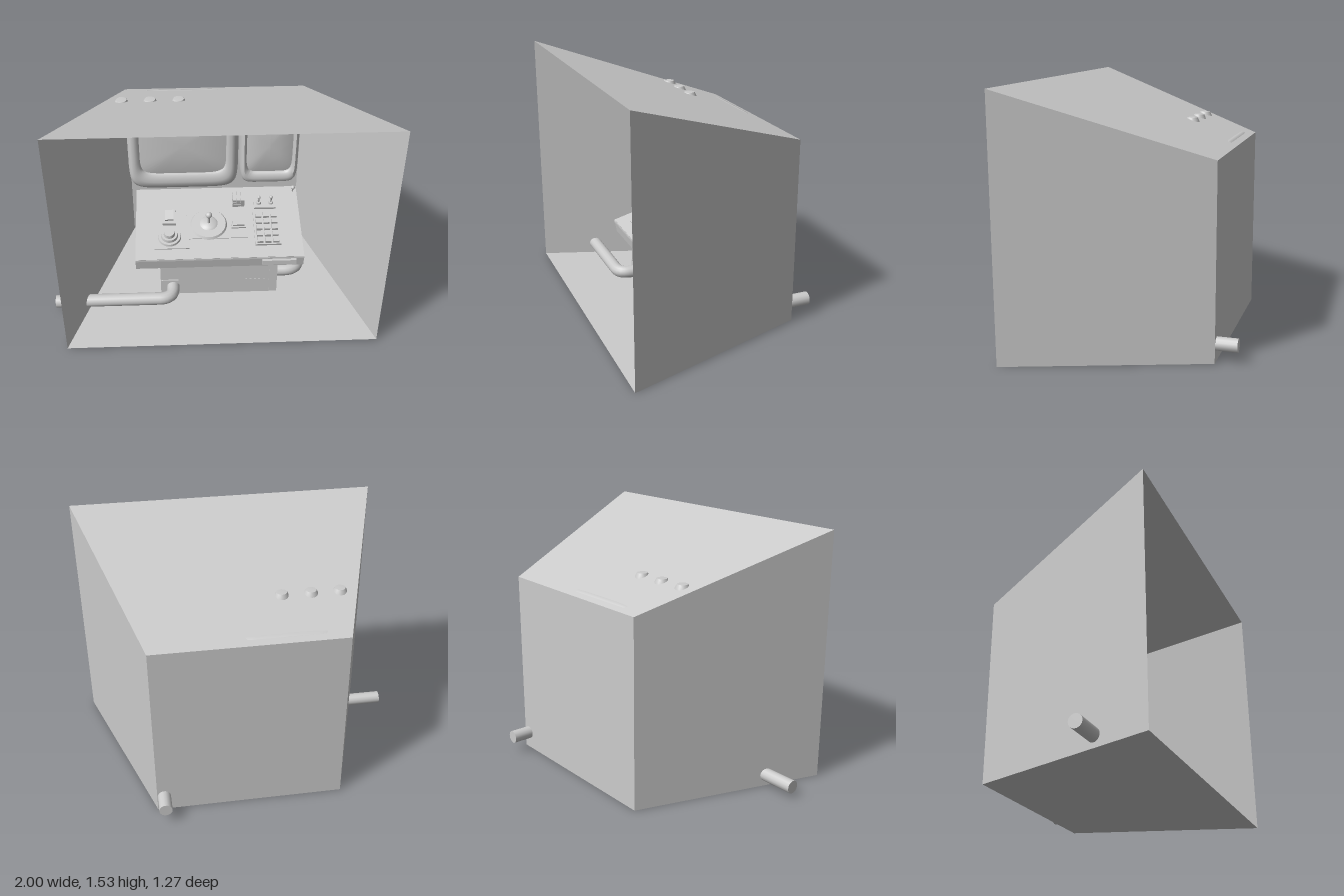
import * as THREE from 'three';
import { toCreasedNormals } from 'three/addons/utils/BufferGeometryUtils.js';

const grey = new THREE.MeshStandardMaterial({ color: 0xcccccc, side: THREE.DoubleSide });

function add(parent, name, geometry, x = 0, y = 0, z = 0) {
  const mesh = new THREE.Mesh(geometry, grey);
  mesh.name = name;
  mesh.position.set(x, y, z);
  parent.add(mesh);
  return mesh;
}
const box = (w, h, d) => new THREE.BoxGeometry(w, h, d);
const cyl = (r0, r1, h, n = 20) => toCreasedNormals(new THREE.CylinderGeometry(r0, r1, h, n), 0.7);

// Open-fronted room: trapezoid plan, sloping roof
function roomGeometry() {
  const bl = [-0.53, 0, -0.51], br = [0.615, 0, -0.51];
  const fl = [-0.905, 0, 0.635], fr = [0.995, 0, 0.635];
  const up = ([x, , z]) => [x, z < 0 ? 1.147 : 1.528, z];
  const quads = [
    [bl, br, fr, fl],
    [up(fl), up(fr), up(br), up(bl)],
    [br, bl, up(bl), up(br)],
    [bl, fl, up(fl), up(bl)],
    [fr, br, up(br), up(fr)],
  ];
  const pos = quads.flatMap(([a, b, c, d]) => [a, b, c, a, c, d]).flat();
  const g = new THREE.BufferGeometry();
  g.setAttribute('position', new THREE.Float32BufferAttribute(pos, 3));
  g.computeVertexNormals();
  return g;
}

// Monitor lofted from bowed rounded outlines; rectangles are [x0, x1, y0, y1]
function monitorGeometry(outer, inner) {
  // [blend outer->inner, scale about centre, z]
  const rings = [
    [0, 0.001, -0.48], [0, 0.92, -0.48], [0, 0.98, -0.468], [0, 1, -0.45], [0, 1, -0.34],
    [0.08, 1, -0.29], [0.3, 1, -0.262], [0.6, 1, -0.254], [0.9, 1, -0.262],
    [1, 1, -0.27], [1.03, 1, -0.285], [1, 0.8, -0.275], [1, 0.45, -0.265], [1, 0.001, -0.26],
  ];
  const n = 64, pos = [], idx = [];
  rings.forEach(([f, s, z], k) => {
    const [x0, x1, y0, y1] = outer.map((v, i) => v + (inner[i] - v) * f);
    for (let i = 0; i < n; i++) {
      const t = (i / n) * Math.PI * 2, c = Math.cos(t), d = Math.sin(t);
      const p = (v) => Math.sign(v) * Math.abs(v) ** 0.3;
      pos.push((x0 + x1) / 2 + p(c) * s * (x1 - x0) / 2, (y0 + y1) / 2 + p(d) * s * (y1 - y0) / 2, z);
      if (k) {
        const a = (k - 1) * n + i, b = (k - 1) * n + (i + 1) % n;
        idx.push(a, b, b + n, a, b + n, a + n);
      }
    }
  });
  const g = new THREE.BufferGeometry();
  g.setAttribute('position', new THREE.Float32BufferAttribute(pos, 3));
  g.setIndex(idx);
  return toCreasedNormals(g, 0.75);
}

// Pipe with one rounded elbow and closed ends
function addPipe(parent, name, start, corner, end, bend) {
  const [a, b, c] = [start, corner, end].map((p) => new THREE.Vector3(...p));
  const b0 = b.clone().add(a.clone().sub(b).setLength(bend));
  const b1 = b.clone().add(c.clone().sub(b).setLength(bend));
  const path = new THREE.CurvePath();
  path.add(new THREE.LineCurve3(a, b0));
  path.add(new THREE.QuadraticBezierCurve3(b0, b, b1));
  path.add(new THREE.LineCurve3(b1, c));
  const group = new THREE.Group();
  group.name = name;
  parent.add(group);
  add(group, 'pipeTube', new THREE.TubeGeometry(path, 48, 0.04, 14));
  for (const [p, q] of [[a, b], [c, b]]) {
    const cap = add(group, 'pipeEnd', new THREE.CircleGeometry(0.04, 14), p.x, p.y, p.z);
    cap.lookAt(p.clone().multiplyScalar(2).sub(q));
  }
}

export function createModel() {
  const model = new THREE.Group();
  model.name = 'controlRoom';
  add(model, 'roomShell', roomGeometry());

  add(model, 'largeMonitor', monitorGeometry([-0.53, 0.19, 0.51, 1.17], [-0.455, 0.11, 0.635, 1.09]));
  add(model, 'smallMonitor', monitorGeometry([0.2, 0.58, 0.54, 1.14], [0.24, 0.54, 0.635, 1.07]));

  // Hanging lamps
  const egg = [[0, 1.09], [0.03, 1.097], [0.055, 1.117], [0.068, 1.15], [0.066, 1.18],
    [0.055, 1.22], [0.042, 1.255], [0.032, 1.273], [0, 1.275]].map((p) => new THREE.Vector2(...p));
  for (const x of [-0.535, -0.363, -0.19]) {
    add(model, 'lamp', toCreasedNormals(new THREE.LatheGeometry(egg, 16), 0.9), x, 0, -0.17);
  }

  // Cabinet under the desk
  add(model, 'cabinet', box(0.755, 0.31, 0.48), 0.0425, 0.155, -0.06);
  add(model, 'pipePlate', box(0.11, 0.12, 0.012), -0.275, 0.063, 0.182);
  add(model, 'cabinetDoorEdge', box(0.006, 0.27, 0.008), 0.37, 0.145, 0.181);
  for (let i = 0; i < 5; i++) add(model, 'vent', box(0.012, 0.006, 0.006), 0.22 + i * 0.028, 0.11, 0.181);

  addPipe(model, 'leftPipe', [-1, 0.07, 0.295], [-0.255, 0.07, 0.295], [-0.255, 0.07, 0.17], 0.085);
  addPipe(model, 'rightPipe', [0.41, 0.105, 0.09], [0.572, 0.105, 0.09], [0.572, 0.105, -0.635], 0.1);

  // Desk slab with sloping top
  const side = new THREE.Shape([[-0.25, 0.36], [0.29, 0.505], [0.29, 0.42], [-0.235, 0.275]]
    .map((p) => new THREE.Vector2(...p)));
  const slab = new THREE.ExtrudeGeometry(side, { depth: 1.06, bevelEnabled: false });
  slab.rotateY(Math.PI / 2);
  add(model, 'desk', slab, -0.485);
  add(model, 'deskTrim', box(1.06, 0.012, 0.01), 0.045, 0.352, 0.248);
  add(model, 'frontHandle', box(0.215, 0.034, 0.03), 0.418, 0.322, 0.25);

  // Controls sit on a tilted group: its z = 0 is the front edge of the desk
  const panel = new THREE.Group();
  panel.name = 'controls';
  panel.position.set(0, 0.36, 0.25);
  panel.rotation.x = Math.atan2(0.145, 0.54);
  model.add(panel);
  const put = (name, g, x, y, z) => add(panel, name, g, x, y, (z - 0.25) * 1.035);

  put('leftPlate', box(0.22, 0.008, 0.2), -0.255, 0.003, 0.08);
  put('middlePlate', box(0.4, 0.006, 0.22), 0.04, 0.002, 0.0);

  // Dial
  put('dialBase', cyl(0.07, 0.075, 0.016, 24), -0.27, 0.012, 0.09);
  put('dialRing', cyl(0.05, 0.055, 0.02, 24), -0.27, 0.028, 0.09);
  put('dialKnob', cyl(0.032, 0.038, 0.03), -0.27, 0.045, 0.09);

  // Rocker switch
  put('switchBase', box(0.085, 0.03, 0.11), -0.27, 0.015, -0.05);
  put('switchRocker', box(0.055, 0.025, 0.07), -0.27, 0.04, -0.05).rotation.x = 0.2;

  // Joystick
  put('joystickDish', cyl(0.11, 0.12, 0.016, 32), -0.017, 0.01, 0);
  put('joystickCollar', cyl(0.045, 0.06, 0.012, 24), -0.017, 0.022, 0);
  put('joystickShaft', cyl(0.007, 0.009, 0.09, 10), -0.017, 0.06, 0);
  put('joystickBall', new THREE.SphereGeometry(0.021, 16, 12), -0.017, 0.105, 0);

  // Flat key and ribbed block
  put('flatKeyBase', box(0.095, 0.016, 0.075), 0.175, 0.008, 0);
  put('flatKey', box(0.075, 0.016, 0.055), 0.175, 0.022, 0);
  for (let i = 0; i < 3; i++) {
    for (let j = 0; j < 3; j++) {
      put('ribbedBlock', box(0.024, 0.021, 0.075), 0.157 + i * 0.026, 0.011 + j * 0.023, -0.17);
    }
  }

  // Keypad with two toggles behind it
  put('keypadBase', box(0.165, 0.014, 0.25), 0.355, 0.007, 0.045);
  for (let i = 0; i < 3; i++) {
    for (let j = 0; j < 5; j++) {
      put('key', box(0.038, 0.024, 0.036), 0.305 + i * 0.05, 0.022, 0.14 - j * 0.047);
    }
  }
  put('toggleBase', box(0.14, 0.016, 0.08), 0.355, 0.008, -0.15);
  for (const x of [0.315, 0.395]) {
    put('toggleCollar', cyl(0.014, 0.018, 0.014, 12), x, 0.022, -0.15);
    put('toggleLever', cyl(0.007, 0.005, 0.055, 8), x, 0.048, -0.15);
    put('toggleTip', new THREE.SphereGeometry(0.011, 10, 8), x, 0.074, -0.15);
  }

  // Small corner lever
  put('cornerLeverShaft', cyl(0.004, 0.005, 0.04, 8), 0.55, 0.02, -0.25);
  put('cornerLeverBall', new THREE.SphereGeometry(0.014, 12, 10), 0.55, 0.038, -0.25);

  return model;
}
